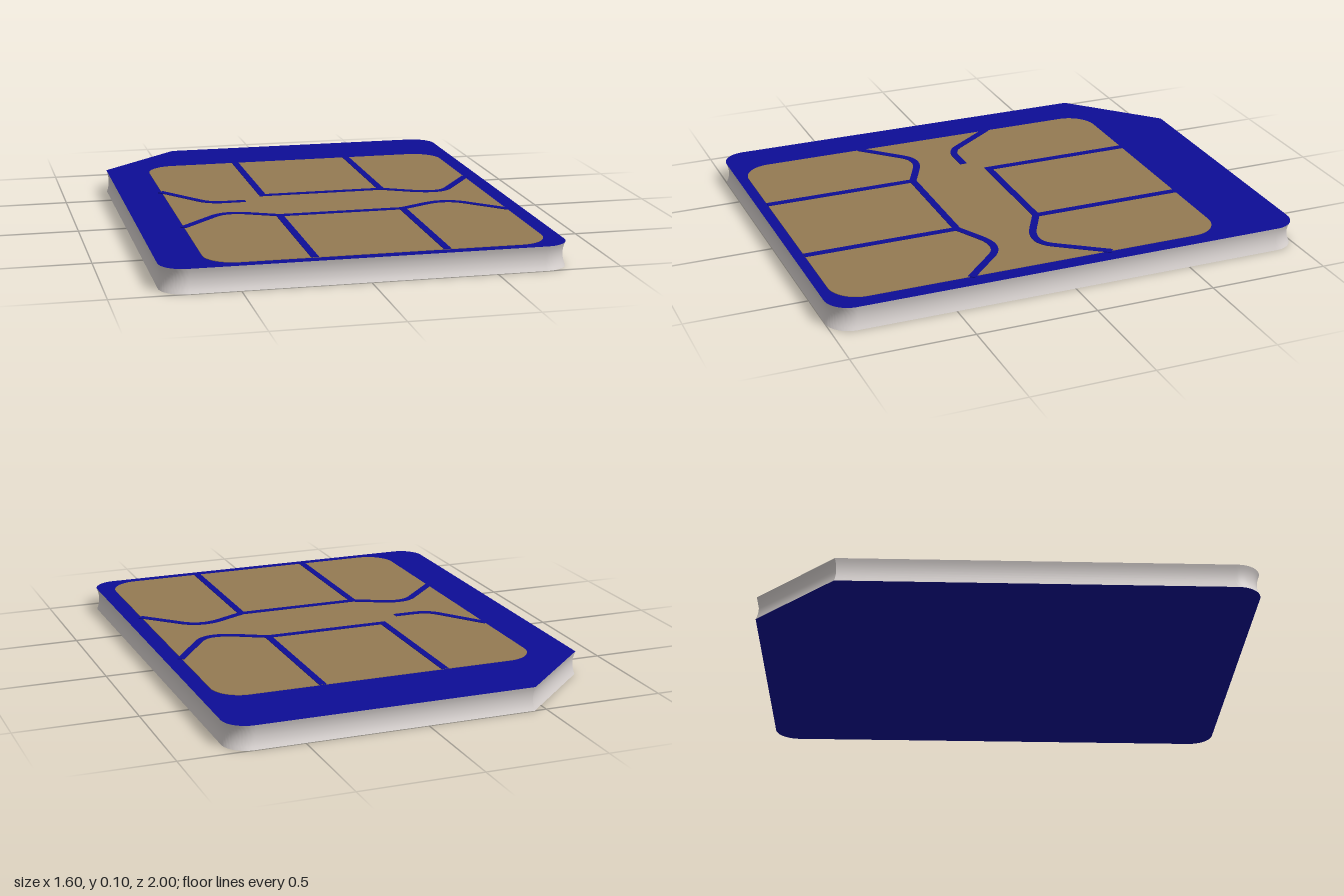
import * as THREE from 'three';
import { toCreasedNormals } from 'three/addons/utils/BufferGeometryUtils.js';

const blue = new THREE.MeshStandardMaterial({ name: 'blueFace', color: 0x0d0d96 });
const gold = new THREE.MeshStandardMaterial({ name: 'goldContact', color: 0x947a53 });
const grey = new THREE.MeshStandardMaterial({ name: 'greyEdge', color: 0xd8d2d0 });

const HEIGHT = 0.098;

// Shapes are drawn in (x, -z) and laid flat, so extrusion depth becomes height.
function flat(shape, y, depth, steps = 1) {
  const g = new THREE.ExtrudeGeometry(shape, { depth, steps, bevelEnabled: false, curveSegments: 12 });
  return g.rotateX(-Math.PI / 2).translate(0, y, 0);
}

// Rectangle with rounded corners; the back right corner may be cut off.
function panel(x0, x1, z0, z1, r, cutX = 0, cutZ = 0) {
  const s = new THREE.Shape(), q = Math.PI / 2;
  s.absarc(x0 + r, -z1 + r, r, 2 * q, 3 * q);
  s.absarc(x1 - r, -z1 + r, r, 3 * q, 4 * q);
  s.absarc(x1 - r, -z0 - r, r, 0, q);
  if (cutX) {
    s.lineTo(x0 + cutX, -z0);
    s.lineTo(x0, -z0 - cutZ);
  } else s.absarc(x0 + r, -z0 - r, r, q, 2 * q);
  s.closePath();
  return s;
}

// Flat ribbon of constant width along a path of [x, z] points, with mitred joints.
function ribbon(points, width = 0.03) {
  const p = points.map(([x, z]) => new THREE.Vector2(x, -z));
  const left = [], right = [];
  p.forEach((c, i) => {
    const a = p[Math.max(i - 1, 0)], b = p[Math.min(i + 1, p.length - 1)];
    const d1 = (i ? c.clone().sub(a) : b.clone().sub(c)).normalize();
    const d2 = (i < p.length - 1 ? b.clone().sub(c) : d1.clone()).normalize();
    const n = new THREE.Vector2(-d1.y - d2.y, d1.x + d2.x).normalize();
    n.multiplyScalar(width / 2 / (n.x * -d1.y + n.y * d1.x));
    left.push(c.clone().add(n));
    right.push(c.clone().sub(n));
  });
  return new THREE.Shape([...left, ...right.reverse()]);
}

// Straight run, rounded bend, straight run.
function bend(start, from, control, to, end) {
  const v = (a) => new THREE.Vector2(...a);
  const curve = new THREE.QuadraticBezierCurve(v(from), v(control), v(to));
  return [start, ...curve.getPoints(10).map((q) => [q.x, q.y]), end];
}

export function createModel() {
  const group = new THREE.Group();
  const add = (name, geometry, material) => {
    const mesh = new THREE.Mesh(geometry, material);
    mesh.name = name;
    group.add(mesh);
  };

  // Card body with a slightly hollow rim
  const body = flat(panel(-0.8, 0.8, -1, 1, 0.1, 0.35, 0.33), 0, HEIGHT, 8);
  const pos = body.attributes.position;
  for (let i = 0; i < pos.count; i++) {
    const t = pos.getY(i) / HEIGHT;
    const k = 1 - 0.01 * 4 * t * (1 - t);
    pos.setX(i, pos.getX(i) * k);
    pos.setZ(i, pos.getZ(i) * k);
  }
  add('cardBody', toCreasedNormals(body, 0.6), [blue, grey]);

  // Contact plate
  add('contactPlate', flat(panel(-0.62, 0.73, -0.68, 0.955, 0.12), HEIGHT, 0.002), gold);

  // Dividing lines between the contacts
  const xa = -0.21, xb = 0.31;
  const lines = {
    backFrame: [[xa, -0.68], [xa, -0.04], [xb, -0.04], [xb, -0.68]],
    backLeftCurve: bend([xb, -0.04], [0.42, 0.02], [0.54, 0.085], [0.595, 0.01], [0.735, -0.185]),
    backRightCurve: bend([-0.625, -0.195], [-0.49, -0.01], [-0.455, 0.042], [-0.39, 0.042], [-0.3, 0.042]),
    frontRightCurve: bend([-0.625, 0.415], [-0.475, 0.265], [-0.415, 0.205], [-0.32, 0.255], [xa, 0.31]),
    frontLeftCurve: bend([xb, 0.31], [0.42, 0.255], [0.515, 0.205], [0.585, 0.265], [0.735, 0.415]),
    frontFrame: [[xa, 0.955], [xa, 0.31], [xb, 0.31], [xb, 0.955]],
  };
  for (const [name, points] of Object.entries(lines)) {
    add(name + 'Line', flat(ribbon(points), HEIGHT, 0.004), blue);
  }
  return group;
}
